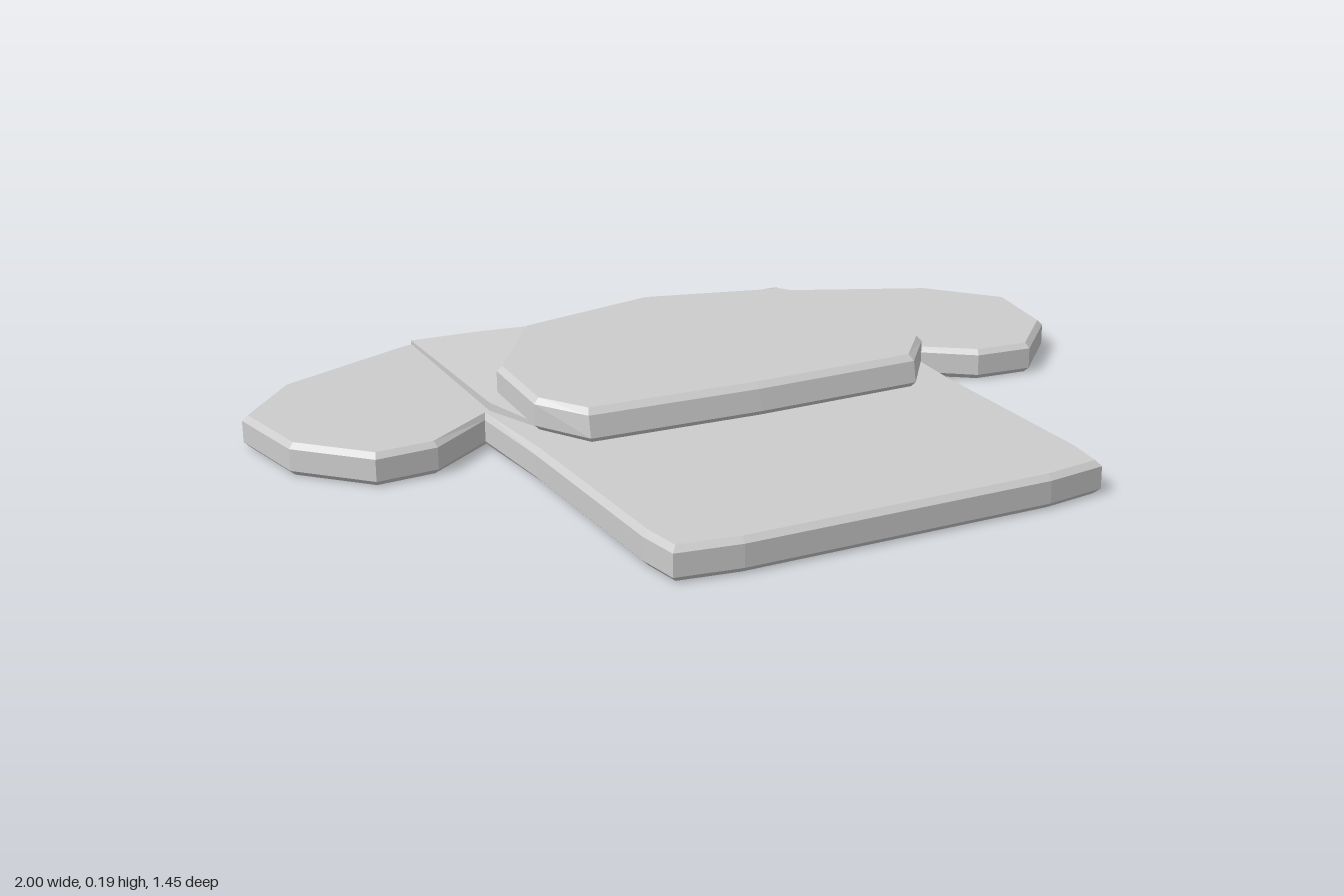
import * as THREE from 'three';
import { ConvexGeometry } from 'three/addons/geometries/ConvexGeometry.js';

const fabric = new THREE.MeshStandardMaterial({ color: 0xcccccc });
fabric.name = 'light grey fabric';

// Closed outline from its +x half (x, z), mirrored to the -x side
function mirroredShape(half) {
  const other = half.filter(([x]) => x > 0).reverse().map(([x, z]) => [-x, z]);
  return new THREE.Shape([...half, ...other].map(([x, z]) => new THREE.Vector2(x, -z)));
}

// Flat slab lying on y = 0 with a small chamfer around its edges
function slab(half, height, bevel) {
  const geometry = new THREE.ExtrudeGeometry(mirroredShape(half), {
    depth: height - 2 * bevel, bevelEnabled: true, bevelSegments: 1,
    bevelSize: bevel, bevelThickness: bevel, bevelOffset: -bevel,
  });
  return geometry.translate(0, 0, bevel).rotateX(-Math.PI / 2);
}

function addPart(group, name, geometry) {
  const mesh = new THREE.Mesh(geometry, fabric);
  mesh.name = name;
  group.add(mesh);
  return mesh;
}

export function createModel() {
  const group = new THREE.Group();
  group.name = 'foldedShirt';

  // Torso and sleeves in one slab
  addPart(group, 'shirtBody', slab([
    [0, -0.67], [0.07, -0.68], [0.2, -0.72], [0.35, -0.73], [0.52, -0.715],
    [0.86, -0.56], [1, -0.39], [0.96, -0.17], [0.82, -0.025], [0.68, -0.035],
    [0.53, -0.15], [0.515, 0.1], [0.505, 0.6], [0.49, 0.7], [0.35, 0.72], [0, 0.72],
  ], 0.073, 0.012));

  // Folded flaps rising from the shoulders to the hood: x, z, top height
  const flap = [
    [0.5, -0.71, 0.082], [0.36, -0.65, 0.1], [0.2, -0.57, 0.119], [0.08, -0.44, 0.138],
    [0.02, -0.32, 0.125], [0.1, -0.02, 0.08], [0.45, 0, 0.08], [0.51, -0.17, 0.092],
  ];
  for (const [side, name] of [[1, 'leftFlap'], [-1, 'rightFlap']]) {
    const points = flap.flatMap(([x, z, y]) => [
      new THREE.Vector3(side * x, y, z), new THREE.Vector3(side * x, 0.06, z),
    ]);
    addPart(group, name, new ConvexGeometry(points));
  }

  // Flattened hood, sloping up to the back with a slanted front edge
  const hood = slab([
    [0, -0.46], [0.34, -0.39], [0.487, -0.18], [0.482, 0.02], [0.4, 0.13], [0, 0.14],
  ], 0.072, 0.012);
  const p = hood.attributes.position;
  for (let i = 0; i < p.count; i++) {
    const y = p.getY(i), z = p.getZ(i);
    p.setY(i, y + 0.084 - 0.078 * z);
    if (z > 0.05) p.setZ(i, z - 0.2 * y);
  }
  hood.computeVertexNormals();
  addPart(group, 'hood', hood);

  return group;
}
